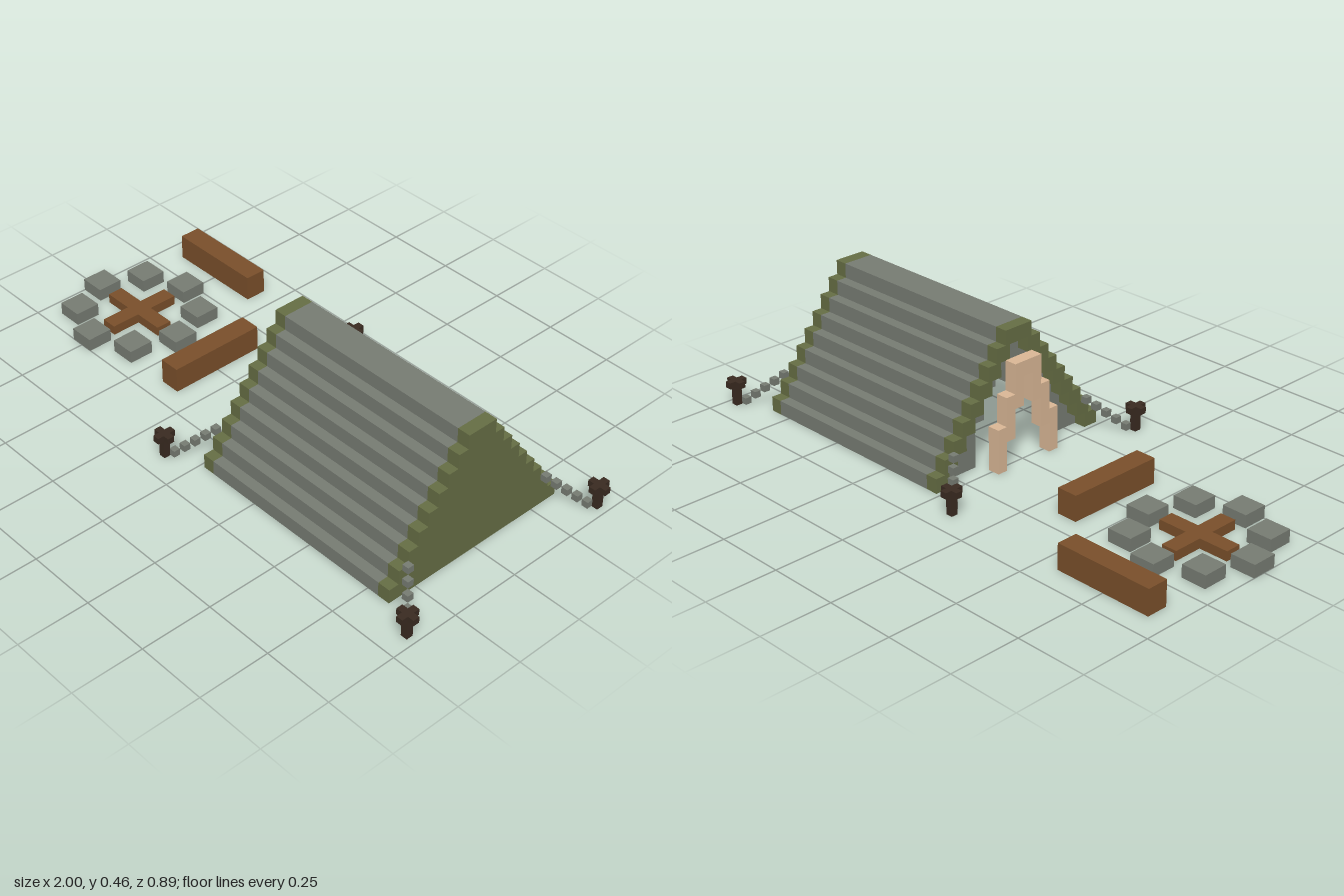
import * as THREE from 'three';

const material = (name, color) => {
  const m = new THREE.MeshStandardMaterial({ color, side: THREE.DoubleSide });
  m.name = name;
  return m;
};

// Removes the faces lying on the ground
const openUnderside = (source) => {
  const geo = source.index ? source.toNonIndexed() : source;
  const pos = geo.attributes.position;
  const kept = [];
  for (let i = 0; i < pos.count; i += 3) {
    const top = Math.max(pos.getY(i), pos.getY(i + 1), pos.getY(i + 2));
    if (top > 1e-4) kept.push(i, i + 1, i + 2);
  }
  geo.setIndex(kept);
  geo.clearGroups();
  return geo;
};

export function createModel() {
  const olive = material('olive canvas', 0x676f45);
  const grey = material('grey', 0x787d74);
  const brown = material('brown wood', 0x7b502b);
  const tan = material('tan cloth', 0xdcb997);
  const dark = material('dark wood', 0x3a2b21);

  const model = new THREE.Group();
  model.name = 'campsite';
  const group = (name) => {
    const g = new THREE.Group();
    g.name = name;
    model.add(g);
    return g;
  };
  const add = (parent, name, mat, geo) => {
    const mesh = new THREE.Mesh(openUnderside(geo), mat);
    mesh.name = name;
    parent.add(mesh);
  };

  // Box given by its limits
  const box = (parent, name, mat, [x0, x1], [y0, y1], [z0, z1]) => {
    const geo = new THREE.BoxGeometry(x1 - x0, y1 - y0, z1 - z0);
    geo.translate((x0 + x1) / 2, (y0 + y1) / 2, (z0 + z1) / 2);
    add(parent, name, mat, geo);
  };

  // Stepped tent profile, from the ground up on one side
  const rows = 9, rise = 0.0512, run = 0.0377;
  const steps = (inset, count) => {
    const side = [];
    for (let i = 0; i < count; i++) {
      const z = 0.358 - i * run - inset;
      side.push([z, i * rise], [z, (i + 1) * rise]);
    }
    return side;
  };
  const mirrored = (side) => side.map(([z, y]) => [-z, y]);
  const gable = (outer, inner) => new THREE.Shape(
    [...outer, ...mirrored(outer).reverse(), ...mirrored(inner), ...[...inner].reverse()]
      .map(([z, y]) => new THREE.Vector2(z, y)));

  const tent = group('tent');
  // Flat sheet of canvas across the tent
  const sheet = (name, mat, shape, x) => {
    const geo = new THREE.ShapeGeometry(shape);
    geo.rotateY(Math.PI / 2);
    geo.translate(x, 0, 0);
    add(tent, name, mat, geo);
  };
  // Stepped canvas skin along the tent, without end faces
  const skin = (name, mat, shape, x0, x1) => {
    const geo = new THREE.ExtrudeGeometry(shape, { depth: x1 - x0, bevelEnabled: false });
    const sides = geo.groups[1];
    for (const key of ['position', 'normal', 'uv']) {
      const { array, itemSize } = geo.attributes[key];
      const part = array.slice(sides.start * itemSize, (sides.start + sides.count) * itemSize);
      geo.setAttribute(key, new THREE.BufferAttribute(part, itemSize));
    }
    geo.rotateY(Math.PI / 2);
    geo.translate(x0, 0, 0);
    add(tent, name, mat, geo);
  };

  // Roof skin with olive borders, closed at the back
  const outside = steps(0, rows);
  const closed = gable(outside, []);
  const rim = gable(outside, steps(0.055, rows - 1));
  skin('frontBorder', olive, rim, 0.016, 0.06);
  sheet('frontBorderFace', olive, rim, 0.016);
  skin('roof', grey, closed, 0.06, 0.792);
  skin('backBorder', olive, closed, 0.792, 0.837);
  sheet('backWall', olive, closed, 0.837);

  // Recessed front wall with a stepped doorway
  const doorway = [[0.15, 0], [0.15, 0.155], [0.112, 0.155], [0.112, 0.256],
    [0.06, 0.256], [0.06, 0.36]];
  sheet('frontWall', grey, gable(outside, doorway), 0.06);

  // Tied-back door flaps
  const flaps = group('doorFlaps');
  const flapX = [-0.027, 0.017];
  const columns = [[0.095, 0.132, 0, 0.155], [0.057, 0.095, 0.102, 0.256], [0.019, 0.057, 0.205, 0.36]];
  for (const [z0, z1, y0, y1] of columns) {
    box(flaps, 'flapLeft', tan, flapX, [y0, y1], [z0, z1]);
    box(flaps, 'flapRight', tan, flapX, [y0, y1], [-z1, -z0]);
  }
  box(flaps, 'flapTop', tan, flapX, [0.307, 0.36], [-0.019, 0.019]);

  // Pegs and ropes at the four corners
  const around = (c, r) => [c - r, c + r];
  for (const sx of [-1, 1]) {
    for (const sz of [-1, 1]) {
      const corner = group('pegAndRope');
      const x = 0.425 + sx * 0.538, z = sz * 0.411;
      box(corner, 'pegStem', dark, around(x, 0.012), [0, 0.09], around(z, 0.012));
      box(corner, 'pegHead', dark, around(x, 0.034), [0.068, 0.09], around(z, 0.012));
      box(corner, 'pegCrossHead', dark, around(x, 0.012), [0.068, 0.09], around(z, 0.034));
      for (let i = 0; i < 5; i++) {
        box(corner, 'ropeLink', grey, around(x - sx * (0.021 + i * 0.0235), 0.0118),
          around(0.0145 + i * 0.0238, 0.0118), around(z - sz * (0.0225 + i * 0.0232), 0.0118));
      }
    }
  }

  // Fire pit: crossed logs in a ring of stones
  const fire = group('firePit');
  const w = 0.028, l = 0.133;
  const cross = new THREE.Shape([[w, w], [w, l], [-w, l], [-w, w], [-l, w], [-l, -w],
    [-w, -w], [-w, -l], [w, -l], [w, -w], [l, -w], [l, w]].map(([x, z]) => new THREE.Vector2(x, z)));
  const crossGeo = new THREE.ExtrudeGeometry(cross, { depth: 0.034, bevelEnabled: false });
  crossGeo.rotateX(-Math.PI / 2);
  crossGeo.translate(-0.749, 0, 0);
  add(fire, 'crossedLogs', brown, crossGeo);
  for (let i = 0; i < 8; i++) {
    const a = i * Math.PI / 4;
    box(fire, 'stone', grey, around(-0.749 + 0.206 * Math.cos(a), 0.045), [0, 0.045],
      around(0.206 * Math.sin(a), 0.045));
  }

  // Bench logs
  box(model, 'backBench', brown, [-0.925, -0.57], [0, 0.09], [-0.415, -0.34]);
  box(model, 'sideBench', brown, [-0.41, -0.335], [0, 0.09], [-0.176, 0.176]);

  return model;
}
